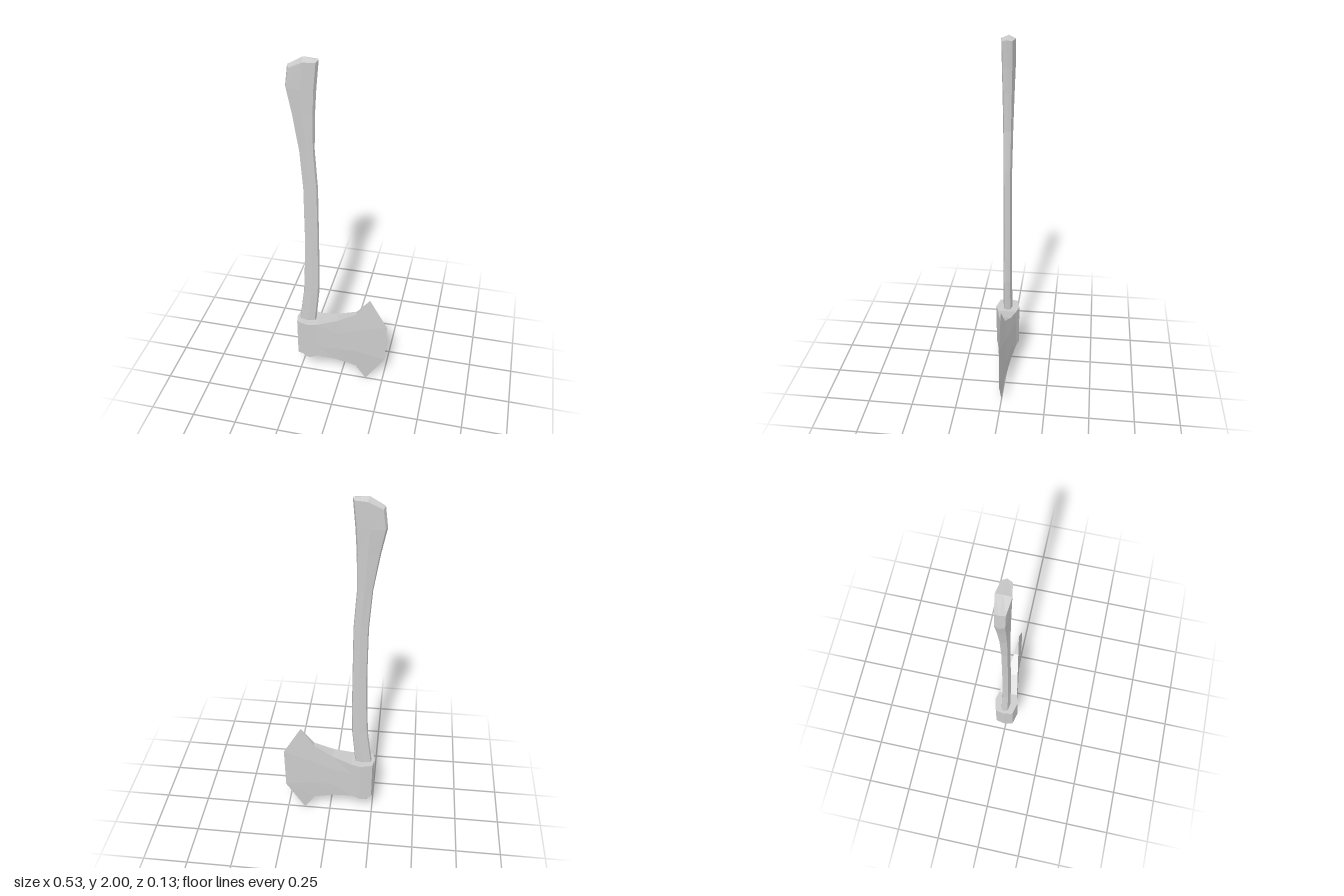
import * as THREE from 'three';

// Skin a list of equal-length rings (counter-clockwise seen from the end they run toward), with fan caps.
function loft(rings) {
  const pos = [];
  const tri = (a, b, c) => {
    const area = b.clone().sub(a).cross(c.clone().sub(a)).length();
    if (area > 1e-9) for (const p of [a, b, c]) pos.push(p.x, p.y, p.z);
  };
  const n = rings[0].length;
  for (let r = 0; r < rings.length - 1; r++) {
    for (let i = 0; i < n; i++) {
      const j = (i + 1) % n, a = rings[r], b = rings[r + 1];
      tri(a[i], a[j], b[j]);
      tri(a[i], b[j], b[i]);
    }
  }
  const cap = (ring, flip) => {
    const c = ring.reduce((s, p) => s.add(p), new THREE.Vector3()).divideScalar(n);
    for (let i = 0; i < n; i++) {
      const j = (i + 1) % n;
      if (flip) tri(c, ring[j], ring[i]);
      else tri(c, ring[i], ring[j]);
    }
  };
  cap(rings[0], true);
  cap(rings[rings.length - 1], false);
  const g = new THREE.BufferGeometry();
  g.setAttribute('position', new THREE.Float32BufferAttribute(pos, 3));
  g.computeVertexNormals();
  return g;
}

const V = (x, y, z) => new THREE.Vector3(x, y, z);

// Eight-sided handle section: shallow points at back and front, widest in the middle
function handleRing(y, x0, x1, d) {
  const mid = x0 + (x1 - x0) * 0.53, inset = (x1 - x0) * 0.06, e = d * 0.68;
  return [
    V(x1, y, 0), V(x1 - inset, y, -e), V(mid, y, -d), V(x0 + inset, y, -e),
    V(x0, y, 0), V(x0 + inset, y, e), V(mid, y, d), V(x1 - inset, y, e),
  ];
}

export function createModel() {
  const group = new THREE.Group();
  const material = new THREE.MeshStandardMaterial({ color: 0xcccccc, flatShading: true });
  const add = (name, geometry) => {
    const mesh = new THREE.Mesh(geometry, material);
    mesh.name = name;
    group.add(mesh);
  };

  // Curved handle: y, back x, front x, half depth
  const sections = [
    [0.16, -0.24, -0.145, 0.026],
    [0.42, -0.24, -0.145, 0.026],
    [0.62, -0.213, -0.125, 0.024],
    [0.80, -0.204, -0.121, 0.023],
    [1.00, -0.198, -0.12, 0.022],
    [1.30, -0.198, -0.12, 0.023],
    [1.52, -0.212, -0.133, 0.026],
    [1.72, -0.243, -0.127, 0.031],
    [1.85, -0.269, -0.118, 0.035],
  ];
  const rings = sections.map((s) => handleRing(...s));
  // Ridged, slanted butt end
  const buttHeights = [1.992, 1.985, 1.985, 1.947, 1.957, 1.947, 1.985, 1.985];
  const butt = handleRing(0, -0.255, -0.104, 0.036);
  butt.forEach((p, i) => { p.y = buttHeights[i]; });
  const ridge = [-0.104, -0.104, -0.18, -0.255, -0.255, -0.255, -0.18, -0.104];
  const ridgeRing = ridge.map((x) => V(x, x === -0.18 ? 2 : x === -0.104 ? 1.992 : 1.957, 0));
  add('handle', loft([...rings, butt, ridgeRing]));

  // Stepped end showing under the head
  add('handleCollar', loft([handleRing(0.145, -0.24, -0.145, 0.034), handleRing(0.18, -0.24, -0.145, 0.034)]));
  add('handleWedge', loft([handleRing(0.12, -0.225, -0.16, 0.022), handleRing(0.15, -0.225, -0.16, 0.022)]));

  // Head columns from poll to cutting edge: x, bottom y, top y, half depth at middle and at rims
  const columns = [
    [-0.257, 0.178, 0.418, 0, 0],
    [-0.247, 0.178, 0.418, 0.05, 0.05],
    [-0.18, 0.176, 0.418, 0.067, 0.067],
    [-0.13, 0.175, 0.418, 0.053, 0.053],
    [-0.02, 0.15, 0.45, 0.037, 0.033],
    [0.09, 0.105, 0.505, 0.02, 0.013],
  ];
  const headRing = (pts) => [
    ...pts.map(([x, y, z]) => V(x, y, z)),
    ...pts.slice().reverse().map(([x, y, z]) => V(x, y, -z)),
  ];
  const headRings = columns.map(([x, b, t, zm, zr]) => headRing([
    [x, t, zr], [x, b + (t - b) * 0.7, zm], [x, b + (t - b) * 0.3, zm], [x, b, zr],
  ]));
  // Flared cutting edge, brought to zero thickness
  headRings.push(headRing([[0.165, 0.61, 0], [0.266, 0.43, 0], [0.261, 0.178, 0], [0.15, 0, 0]]));
  add('axeHead', loft(headRings));

  return group;
}
